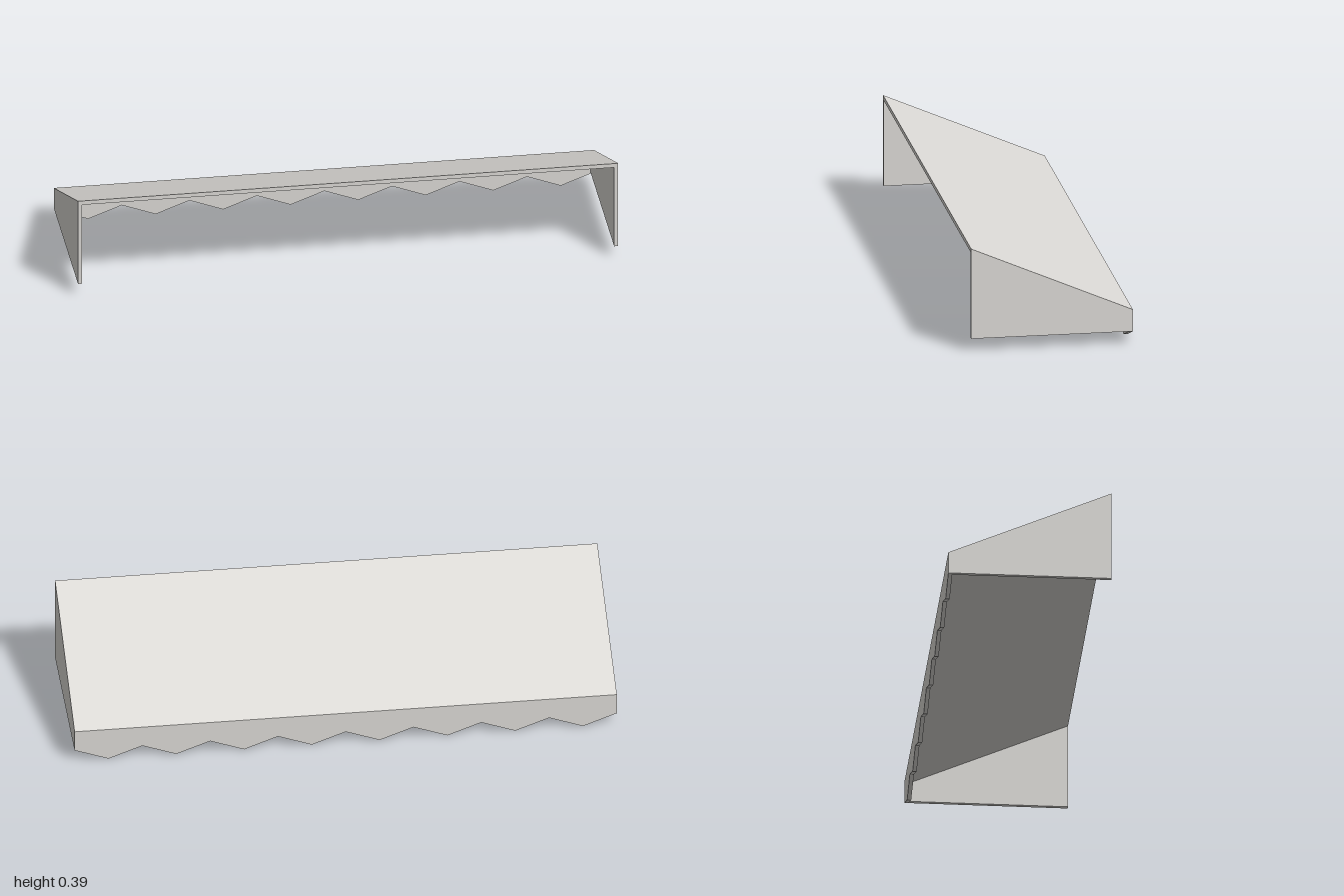
import * as THREE from 'three';

const T = 0.015;           // sheet thickness
const FRONT = 0.3, BACK = -0.3;
const HEM = 0.047;         // lower edge of the sides and valleys of the valance
const TEETH = 8;

// Height of the sloping top surface at depth z
const topY = z => 0.26 + (z / 0.6) * 0.26;
const DROP = T * Math.hypot(0.6, 0.26) / 0.6; // vertical thickness of the roof

const shapeOf = pts => new THREE.Shape(pts.map(p => new THREE.Vector2(p[0], p[1])));
const extrude = (pts, depth) =>
  new THREE.ExtrudeGeometry(shapeOf(pts), { depth, bevelEnabled: false });

// Extrudes a (z, y) outline along x, from x0 to x1
function acrossX(pts, x0, x1) {
  return extrude(pts, x1 - x0).rotateY(-Math.PI / 2).translate(x1, 0, 0);
}

export function createModel() {
  const group = new THREE.Group();
  group.name = 'awning';
  const canvas = new THREE.MeshStandardMaterial({ color: 0xdcdad6 });
  canvas.name = 'pale grey canvas';

  const add = (name, geometry) => {
    const mesh = new THREE.Mesh(geometry, canvas);
    mesh.name = name;
    group.add(mesh);
  };

  // Sloping roof, high at the front and low at the back
  add('roof', acrossX([
    [BACK, topY(BACK) - DROP], [FRONT, topY(FRONT) - DROP],
    [FRONT, topY(FRONT)], [BACK, topY(BACK)],
  ], -1, 1));

  // Side panels under the roof
  const side = [
    [BACK + T, HEM], [FRONT, HEM],
    [FRONT, topY(FRONT) - DROP], [BACK + T, topY(BACK + T) - DROP],
  ];
  add('leftSide', acrossX(side, 1 - T, 1));
  add('rightSide', acrossX(side, -1, -1 + T));

  // Valance with a zigzag hem along the low edge
  const valance = [[1, 0.119], [-1, 0.119]];
  for (let i = 0; i <= TEETH * 2; i++) {
    valance.push([-1 + i / TEETH, i % 2 ? 0 : HEM]);
  }
  add('valance', extrude(valance, T).translate(0, 0, BACK));

  return group;
}
